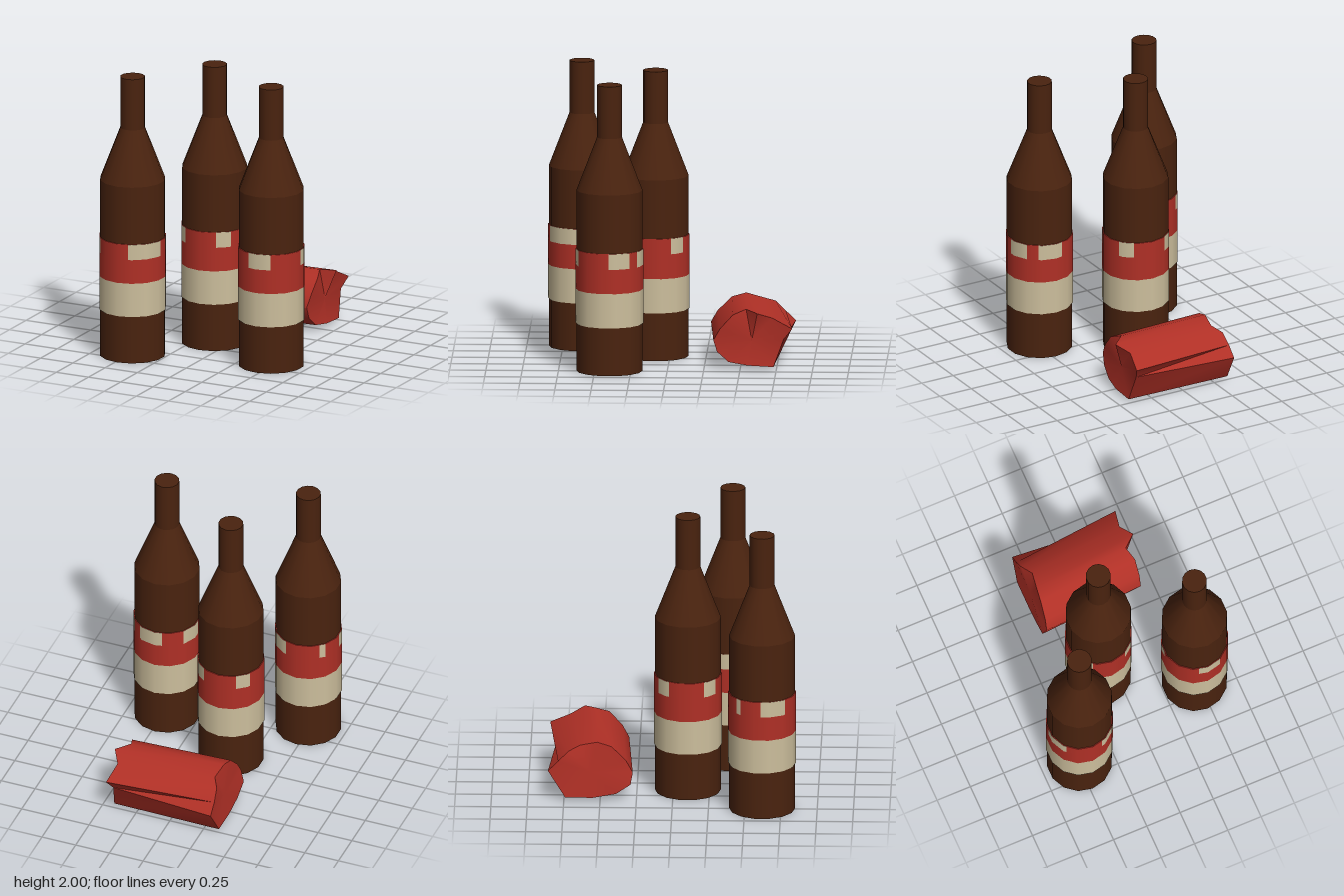
import * as THREE from 'three';
import { toCreasedNormals } from 'three/addons/utils/BufferGeometryUtils.js';

const SIDES = 14, STEP = 360 / SIDES, BODY_R = 0.228, LABEL_R = 0.234;
const RAD = Math.PI / 180;

const material = (name, color) => {
  const m = new THREE.MeshStandardMaterial({ color });
  m.name = name;
  return m;
};

function add(parent, name, geometry, mat) {
  const mesh = new THREE.Mesh(geometry, mat);
  mesh.name = name;
  parent.add(mesh);
  return mesh;
}

// Strip of label between two heights and two angles (degrees from +z to +x),
// lying on the flat sides of the bottle
function labelStrip(y0, y1, a0, a1) {
  const angles = [a0];
  for (let k = Math.floor(a0 / STEP) + 1; k * STEP < a1 - 0.01; k++) angles.push(k * STEP);
  angles.push(a1);
  const pos = [], nor = [], index = [];
  angles.forEach((a, i) => {
    const inSide = a - Math.floor(a / STEP + 1e-6) * STEP - STEP / 2;
    const r = LABEL_R * Math.cos(STEP / 2 * RAD) / Math.cos(inSide * RAD);
    const s = Math.sin(a * RAD), c = Math.cos(a * RAD);
    pos.push(r * s, y0, r * c, r * s, y1, r * c);
    nor.push(s, 0, c, s, 0, c);
    const k = 2 * i;
    if (i < angles.length - 1) index.push(k, k + 2, k + 3, k, k + 3, k + 1);
  });
  const g = new THREE.BufferGeometry();
  g.setAttribute('position', new THREE.Float32BufferAttribute(pos, 3));
  g.setAttribute('normal', new THREE.Float32BufferAttribute(nor, 3));
  g.setIndex(index);
  return g;
}

// Bottle with a two-colour label; patches are [from, to] angles in rising order
function makeBottle(x, z, patches, mats) {
  const bottle = new THREE.Group();
  bottle.name = 'bottle';
  bottle.position.set(x, 0, z);
  const tube = (name, rTop, rBottom, y0, y1, open) => {
    const g = new THREE.CylinderGeometry(rTop, rBottom, y1 - y0, SIDES, 1, open);
    add(bottle, name, g, mats.glass).position.y = (y0 + y1) / 2;
  };
  tube('bottleBody', BODY_R, BODY_R, 0, 1.265, false);
  tube('bottleShoulder', 0.086, BODY_R, 1.265, 1.635, true);
  tube('bottleNeck', 0.086, 0.086, 1.635, 2, false);

  // Label bands
  add(bottle, 'labelLowerBand', labelStrip(0.335, 0.575, 0, 360), mats.cream);
  add(bottle, 'labelUpperBand', labelStrip(0.575, 0.745, 0, 360), mats.red);

  // Pale patches along the label's top edge, with red between them
  patches.forEach(([from, to], i) => {
    const next = i + 1 < patches.length ? patches[i + 1][0] : patches[0][0] + 360;
    add(bottle, 'labelPatch', labelStrip(0.745, 0.855, from, to), mats.cream);
    add(bottle, 'labelTopEdge', labelStrip(0.745, 0.855, to, next), mats.red);
  });

  // Thin rims closing the label against the glass
  for (const [y, turn, mat] of [[0.855, -1, mats.red], [0.335, 1, mats.cream]]) {
    const rim = new THREE.RingGeometry(0.226, LABEL_R, SIDES, 1, Math.PI / 2);
    rim.rotateX(turn * Math.PI / 2);
    add(bottle, 'labelRim', rim, mat).position.y = y;
  }
  return bottle;
}

// Crumpled can lying along x: two bent end outlines joined by a skin
function makeCan(mat) {
  const left = [
    [-0.345, 0.28, -0.79], [-0.335, 0.35, -0.72], [-0.29, 0.38, -0.64], [-0.31, 0.41, -0.52],
    [-0.32, 0.38, -0.42], [-0.33, 0.28, -0.32], [-0.34, 0.2, -0.275], [-0.365, 0.12, -0.29],
    [-0.36, 0.05, -0.39], [-0.36, 0.02, -0.55], [-0.36, 0.02, -0.74], [-0.345, 0.21, -0.86],
  ];
  const right = [
    [0.43, 0.29, -0.86], [0.4, 0.36, -0.72], [0.46, 0.4, -0.62], [0.37, 0.415, -0.54],
    [0.4, 0.38, -0.45], [0.395, 0.28, -0.36], [0.385, 0.2, -0.315], [0.39, 0.12, -0.34],
    [0.4, 0.05, -0.42], [0.42, 0.03, -0.55], [0.42, 0.02, -0.73], [0.4, 0.21, -0.8],
  ];
  const n = left.length, index = [];
  const pos = [...left, ...right, [-0.335, 0.2, -0.57], [0.39, 0.2, -0.58]].flat();
  for (let i = 0; i < n; i++) {
    const j = (i + 1) % n;
    index.push(i, j, n + i, j, n + j, n + i);          // skin
    index.push(2 * n, j, i, 2 * n + 1, n + i, n + j);  // dented ends
  }
  const g = new THREE.BufferGeometry();
  g.setAttribute('position', new THREE.Float32BufferAttribute(pos, 3));
  g.setIndex(index);
  const can = new THREE.Mesh(toCreasedNormals(g, 0.75), mat);
  can.name = 'crushedCan';
  return can;
}

export function createModel() {
  const mats = {
    glass: material('brown glass', 0x4a230f),
    red: material('red', 0xb03026),
    cream: material('cream', 0xcdbf9d),
  };
  const model = new THREE.Group();
  model.name = 'bottlesAndCan';
  model.add(
    makeBottle(-0.483, 0.62, [[19, 84], [122, 159], [221, 232], [268, 314]], mats),
    makeBottle(-0.115, 0.1, [[30, 57], [120, 147], [210, 237], [300, 327]], mats),
    makeBottle(0.478, 0.398, [[-16, 26], [90, 128], [148, 193], [231, 272]], mats),
    makeCan(mats.red),
  );
  return model;
}
